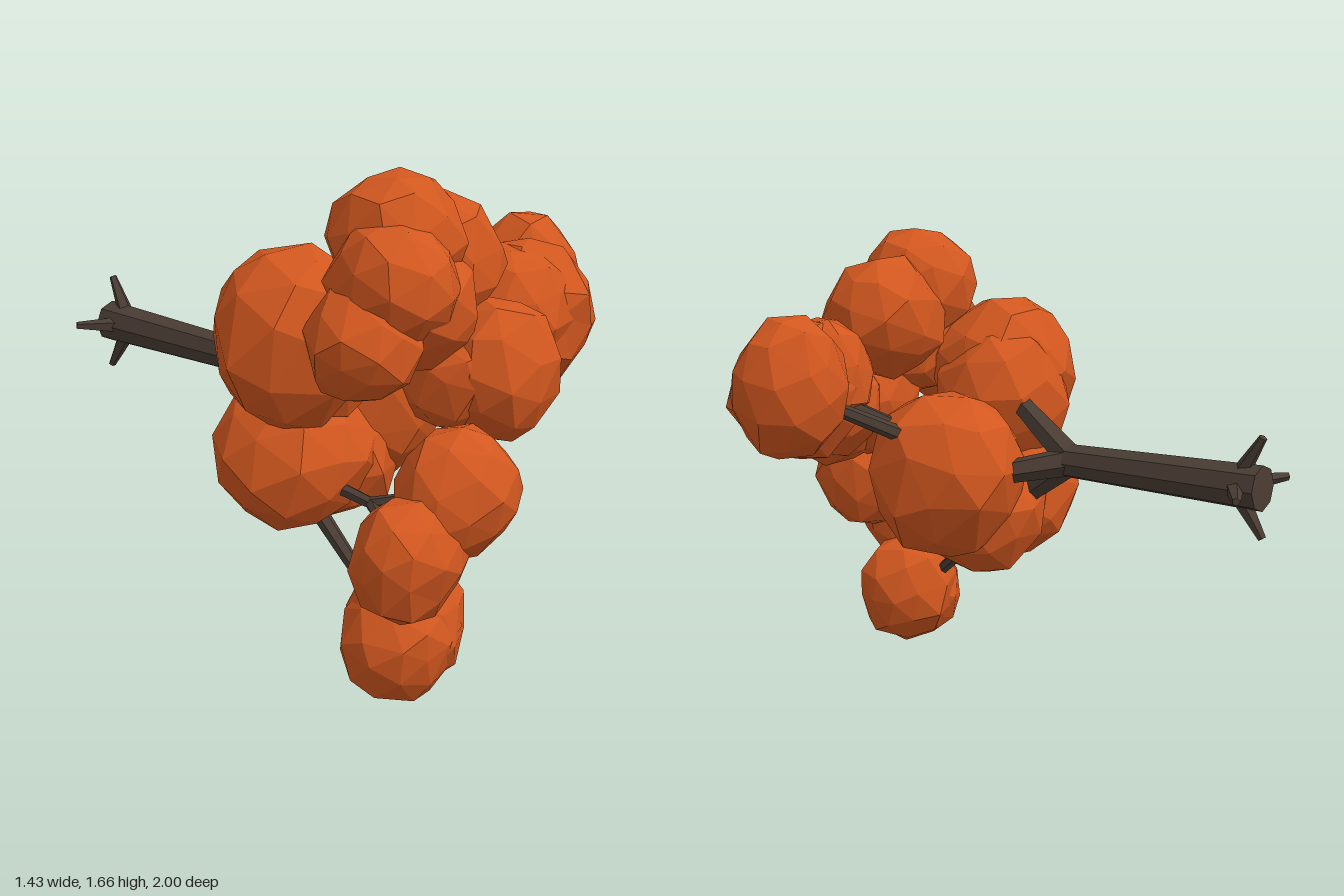
import * as THREE from 'three';

const foliageMat = new THREE.MeshStandardMaterial({ color: 0xd2571f, flatShading: true });
foliageMat.name = 'autumnOrange';
const barkMat = new THREE.MeshStandardMaterial({ color: 0x4a3d34, flatShading: true });
barkMat.name = 'darkBark';

// repeatable value in 0..1
function hash(x, y, z, seed) {
  const s = Math.sin(x * 12.99 + y * 78.23 + z * 37.72 + seed * 4.17) * 43758.5453;
  return s - Math.floor(s);
}

// faceted leaf clump with uneven corners
function clump(x, y, z, r, seed, sx = 1, sy = 1, sz = 1) {
  const g = new THREE.IcosahedronGeometry(1, 1);
  const p = g.attributes.position;
  const v = new THREE.Vector3();
  for (let i = 0; i < p.count; i++) {
    v.fromBufferAttribute(p, i);
    const [a, b, c] = [v.x, v.y, v.z].map((n) => Math.round(n * 100) / 100 + 0);
    const push = 0.95 + 0.13 * hash(a, b, c, seed);
    const slide = (k) => 0.2 * (hash(a, b, c, seed + k) - 0.5);
    v.add(new THREE.Vector3(slide(31), slide(57), slide(83))).setLength(push);
    p.setXYZ(i, v.x, v.y, v.z);
  }
  g.rotateY(seed * 1.3);
  g.rotateX(seed * 0.7);
  g.scale(r * sx, r * sy, r * sz);
  g.computeVertexNormals();
  const m = new THREE.Mesh(g, foliageMat);
  m.position.set(x, y, z);
  m.name = 'leafClump';
  return m;
}

// tapered limb between two points
function limb(a, b, ra, rb, name, sides = 6) {
  const from = new THREE.Vector3(...a);
  const to = new THREE.Vector3(...b);
  const dir = to.clone().sub(from);
  const m = new THREE.Mesh(new THREE.CylinderGeometry(rb, ra, dir.length(), sides), barkMat);
  m.position.copy(from).add(to).multiplyScalar(0.5);
  m.quaternion.setFromUnitVectors(new THREE.Vector3(0, 1, 0), dir.normalize());
  m.name = name;
  return m;
}

export function createModel() {
  const tree = new THREE.Group();
  tree.name = 'tree';

  // trunk lying along z
  tree.add(limb([-0.19, 0.92, -0.985], [-0.175, 0.91, -0.24], 0.077, 0.06, 'trunk', 8));

  // flared roots
  for (let i = 0; i < 4; i++) {
    const a = (i * Math.PI) / 2 - 0.06;
    const c = Math.cos(a), s = Math.sin(a);
    tree.add(limb([-0.19 + c * 0.05, 0.92 + s * 0.05, -0.91],
      [-0.19 + c * 0.17, 0.92 + s * 0.17, -0.985], 0.03, 0.014, 'root', 5));
  }

  // limbs: start, end, radii
  const fork = [-0.175, 0.91, -0.25];
  const hub = [0.02, 0.9, 0.05];
  const twigFork = [-0.37, 0.62, 0.53];
  [
    [fork, [0.02, 0.85, 0.02], 0.052, 0.036],
    [fork, [-0.23, 1.1, 0.05], 0.055, 0.036],
    [fork, [-0.23, 0.72, 0.02], 0.052, 0.036],
    [hub, [0.48, 1.17, 0.44], 0.033, 0.022],
    [hub, [0.25, 1.12, 0.5], 0.033, 0.022],
    [[-0.4, 1.15, 0.2], [-0.3, 1.38, 0.5], 0.03, 0.02],
    [[-0.36, 0.66, 0.15], twigFork, 0.028, 0.02],
    [twigFork, [-0.29, 0.68, 0.72], 0.022, 0.016],
    [twigFork, [-0.44, 0.54, 0.7], 0.022, 0.016],
    [[-0.36, 0.62, 0.18], [-0.37, 0.27, 0.58], 0.032, 0.02],
  ].forEach(([a, b, ra, rb]) => tree.add(limb(a, b, ra, rb, 'branch')));

  // foliage: centre, radius, seed, optional stretch
  const foliage = new THREE.Group();
  foliage.name = 'foliage';
  [
    // lowest tuft
    [-0.34, 0.25, 0.65, 0.205, 1, 1, 1.04, 0.92],
    [-0.39, 0.21, 0.67, 0.205, 21, 1, 0.95, 0.9],
    // lower front tufts
    [-0.28, 0.70, 0.80, 0.215, 2, 1, 1, 0.9],
    [-0.47, 0.54, 0.78, 0.205, 3, 1, 1, 0.78],
    // rear tufts
    [0.0, 0.84, 0.17, 0.28, 4, 0.98, 1.06, 1],
    [-0.37, 0.71, 0.18, 0.255, 5, 1.05, 1, 1],
    [-0.17, 0.68, 0.15, 0.245, 25],
    [-0.43, 1.13, 0.24, 0.285, 6, 0.98, 1.05, 0.92],
    [-0.33, 1.07, 0.19, 0.26, 26, 0.95, 1, 0.98],
    // crown
    [-0.27, 1.46, 0.53, 0.215, 7],
    [-0.06, 1.36, 0.51, 0.22, 8],
    [-0.38, 1.35, 0.62, 0.205, 9],
    [-0.48, 1.18, 0.59, 0.185, 10],
    [-0.28, 1.26, 0.58, 0.22, 27],
    // left and front tufts
    [0.49, 1.19, 0.45, 0.21, 11, 1, 1.18, 0.93],
    [0.32, 1.13, 0.6, 0.24, 12, 1, 1.05, 0.9],
    [0.2, 1.17, 0.6, 0.215, 28],
    [-0.01, 1.03, 0.72, 0.215, 13, 1, 1.08, 1],
    [0.09, 1.05, 0.66, 0.2, 29],
    [-0.11, 1.03, 0.64, 0.19, 30],
  ].forEach((c) => foliage.add(clump(...c)));
  tree.add(foliage);

  return tree;
}
